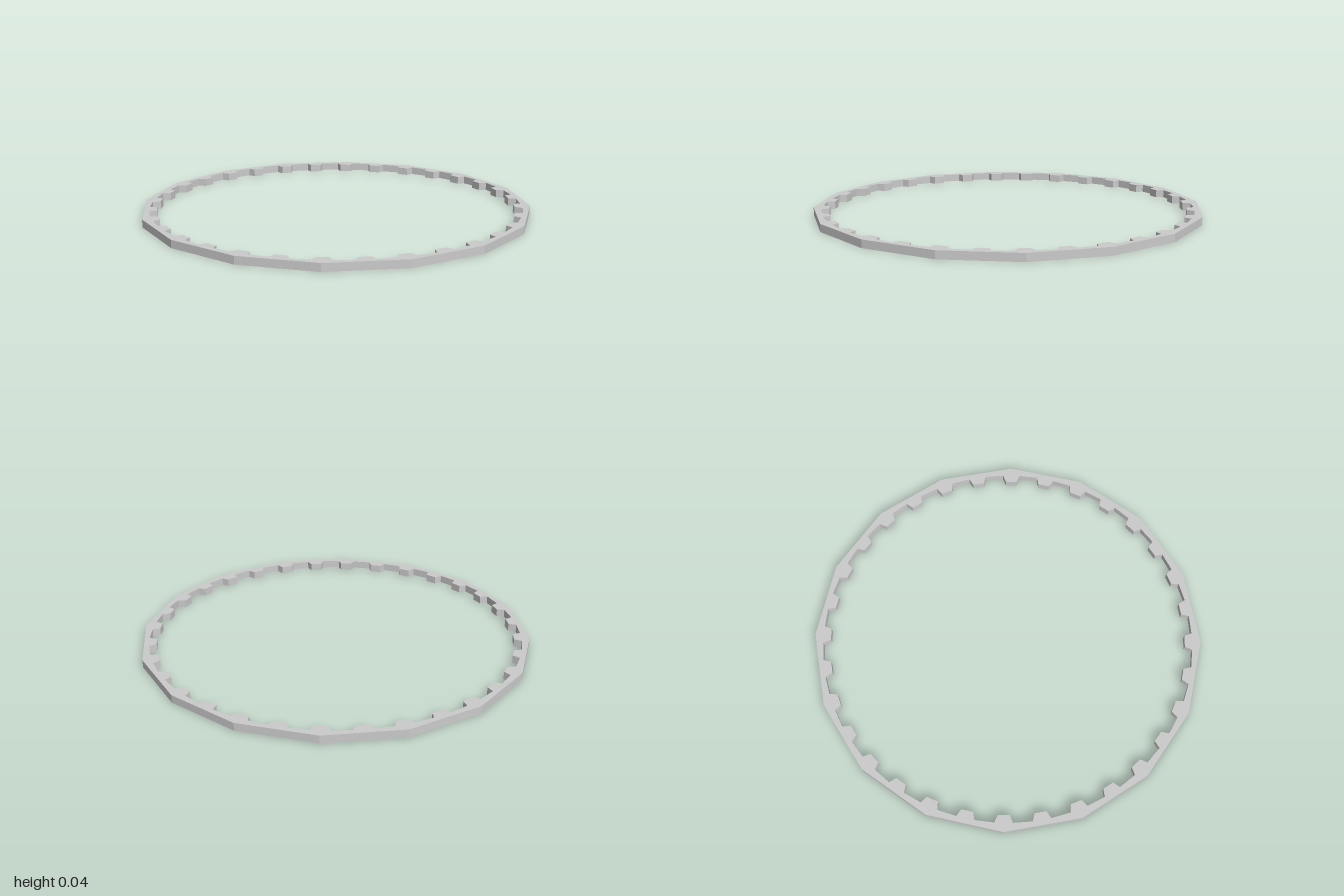
import * as THREE from 'three';

const SIDES = 16;
const TEETH = 32;
const OUTER = 1.002;
const ROOT = 0.958;
const TIP = 0.92;
const HEIGHT = 0.04;
const START = -3.87; // degrees, direction of the first outer corner and first tooth

function polar(radius, degrees) {
  const a = THREE.MathUtils.degToRad(degrees);
  return new THREE.Vector2(radius * Math.cos(a), radius * Math.sin(a));
}

export function createModel() {
  // Sixteen-sided outer rim
  const rim = [];
  for (let i = 0; i < SIDES; i++) rim.push(polar(OUTER, START + (i * 360) / SIDES));
  const shape = new THREE.Shape(rim);

  // Inner edge with tapered teeth pointing to the centre
  const inner = [];
  for (let i = 0; i < TEETH; i++) {
    const a = START + (i * 360) / TEETH;
    inner.push(polar(ROOT, a - 2.73), polar(TIP, a - 1.85), polar(TIP, a + 1.85), polar(ROOT, a + 2.73));
  }
  shape.holes.push(new THREE.Path(inner));

  // Lay the ring flat on the ground
  const geometry = new THREE.ExtrudeGeometry(shape, { depth: HEIGHT, bevelEnabled: false });
  geometry.rotateX(Math.PI / 2).translate(0, HEIGHT, 0);

  const ring = new THREE.Mesh(
    geometry,
    new THREE.MeshStandardMaterial({ color: 0xcccccc, flatShading: true })
  );
  ring.name = 'toothedRing';

  const model = new THREE.Group();
  model.name = 'internalGearRing';
  model.add(ring);
  return model;
}
